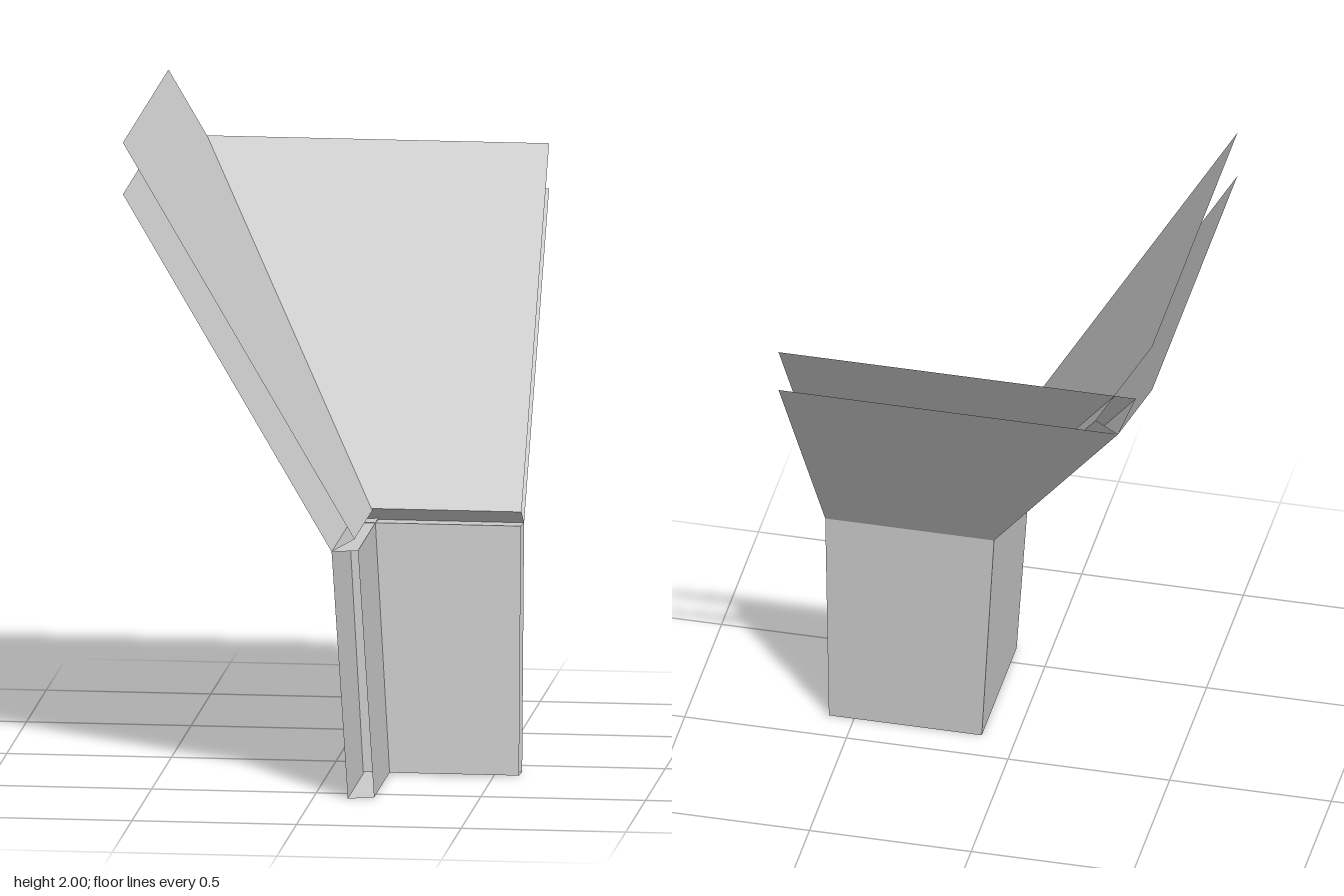
import * as THREE from 'three';

const C = 0.578;       // cut planes on every side
const T = 0.08;        // wall thickness
const K = 0.056;       // corner position at the bend
const YB = 0.757;      // height of the bend
const FOOT = 0.105;    // corner position at the foot

const grey = new THREE.MeshStandardMaterial({ color: 0xcccccc, side: THREE.DoubleSide });
grey.name = 'lightGrey';

// Hollow slab from matching outer and inner outlines; only the listed edges are closed.
// Points are [along, y, depth]; swap exchanges x and z for the second wing.
function slab(name, outer, inner, closedEdges, swap) {
  const pos = [];
  const face = (pts) => {
    for (let i = 1; i < pts.length - 1; i++) {
      const tri = [pts[0], pts[i], pts[i + 1]];
      if (swap) tri.reverse();
      tri.forEach(([u, y, v]) => pos.push(...(swap ? [v, y, u] : [u, y, v])));
    }
  };
  face(outer);
  face([...inner].reverse());
  for (const i of closedEdges) {
    const j = (i + 1) % outer.length;
    face([outer[i], inner[i], inner[j], outer[j]]);
  }
  const geo = new THREE.BufferGeometry();
  geo.setAttribute('position', new THREE.Float32BufferAttribute(pos, 3));
  geo.computeVertexNormals();
  const mesh = new THREE.Mesh(geo, grey);
  mesh.name = name;
  return mesh;
}

export function createModel() {
  const group = new THREE.Group();
  group.name = 'cornerHopper';

  // Lower walls: two leaning slabs meeting at the corner
  const len = Math.hypot(YB, FOOT - K);
  const ny = T * (FOOT - K) / len, nv = T * YB / len;
  const wall = [[K, YB, K], [C, YB, K], [C, 0, FOOT], [FOOT, 0, FOOT]];
  const wallIn = wall.map(([u, y, v]) => [u, y + ny, v + nv]);
  group.add(slab('backWall', wall, wallIn, [0, 2, 3], false));
  group.add(slab('sideWall', wall, wallIn, [0, 2, 3], true));

  // Flared panels: slope is rise over run of each
  const run = K + C;
  const mA = 1.425, mB = 1.71;
  const sA = Math.hypot(1, mA), sB = Math.hypot(1, mB);
  const topA = YB + mA * run, topB = YB + mB * run;
  const hipX = K - (topA - YB) / mB;          // outer hip where it meets the back cut

  // Back panel, its inner face carried up to the back cut plane
  const oyA = T / sA, ovA = T * mA / sA;
  const f = ovA / run;
  const backOut = [[hipX, topA, -C], [C, topA, -C], [C, YB, K], [K, YB, K]];
  const backIn = [
    [hipX + (hipX - K) * f, topA + T * sA, -C], [C, topA + T * sA, -C],
    [C, YB + oyA, K + ovA], [K, YB + oyA, K + ovA],
  ];
  group.add(slab('backPanel', backOut, backIn, [2, 3], false));

  // Side panel, trimmed by both the side and the back cut planes
  const oyB = T / sB, ovB = T * mB / sB;
  const sideOut = [[-C, topB, -C], [C, topB, -C], [C, YB, K], [K, YB, K], [-C, topA, hipX]];
  const sideIn = [
    [-C, topB + T * sB, -C], [C, topB + T * sB, -C],
    [C, YB + oyB, K + ovB], [K, YB + oyB, K + ovB], [-C, topA + oyB, hipX + ovB],
  ];
  group.add(slab('sidePanel', sideOut, sideIn, [2, 3], true));

  return group;
}
